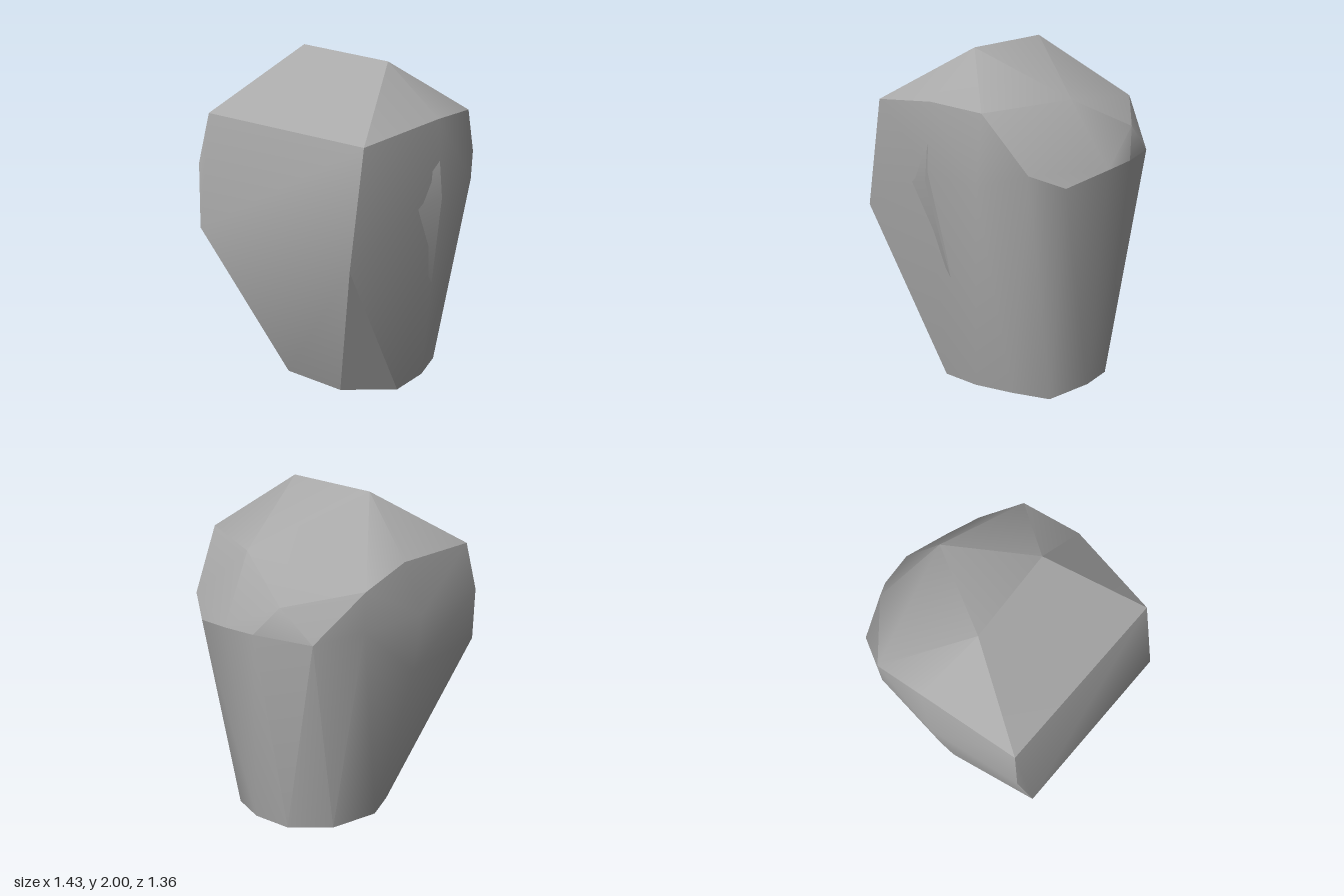
import * as THREE from 'three';
import { ConvexGeometry } from 'three/addons/geometries/ConvexGeometry.js';
import { toCreasedNormals } from 'three/addons/utils/BufferGeometryUtils.js';

export function createModel() {
  const group = new THREE.Group();
  const stone = new THREE.MeshStandardMaterial({ color: 0xa8a8a8 });
  stone.name = 'stone grey';

  // Faceted solid around a few corners, softened across shallow edges
  const addRock = (name, corners) => {
    const geometry = new ConvexGeometry(corners.map((c) => new THREE.Vector3(...c)));
    const mesh = new THREE.Mesh(toCreasedNormals(geometry, 0.55), stone);
    mesh.name = name;
    group.add(mesh);
  };

  // Uneven foot the boulder stands on
  const foot = [
    [0.48, 0, 0.24], [0.33, 0.04, 0.39], [0.1, 0.045, 0.46], [-0.15, 0.045, 0.46],
    [-0.36, 0.045, 0.2], [-0.36, 0.045, -0.2], [-0.15, 0.045, -0.4],
    [0, 0.025, -0.45], [0.3, 0.04, -0.4], [0.5, 0.045, -0.22], [0.555, 0.045, 0],
  ];
  // Flat cut side
  const cutSide = [
    [-0.6, 1.65, 0.55], [-0.72, 1.0, 0.55], [-0.715, 1.0, -0.54],
    [-0.645, 1.36, -0.6], [-0.59, 1.65, -0.56],
  ];
  // Widest part of the wall
  const wall = [
    [-0.05, 1.32, 0.667], [0.3, 1.27, 0.637],
    [-0.1, 1.4, -0.68], [-0.1, 1.03, -0.63], [0.3, 1.4, -0.635],
  ];
  // Rim where the wall meets the crown
  const rim = [
    [-0.05, 1.7, 0.64], [0.31, 1.67, 0.6], [0.55, 1.35, 0.49], [0.655, 1.27, 0.31],
    [0.715, 1.34, 0.03], [0.69, 1.36, -0.18], [0.55, 1.36, -0.5],
    [0.3, 1.64, -0.64], [0, 1.72, -0.63],
  ];
  // Ridge and shoulders of the crown
  const crown = [
    [-0.095, 2, -0.265], [-0.055, 1.97, 0.3], [0.49, 1.71, 0.09], [0.6, 1.53, -0.3],
  ];
  addRock('boulder', [...foot, ...cutSide, ...wall, ...rim, ...crown]);

  // Shallow chipped step down the front
  addRock('frontChip', [
    [-0.06, 1.47, 0.66], [-0.06, 1.26, 0.68], [0.02, 0.7, 0.572], [-0.35, 1.2, 0.6],
  ]);
  return group;
}
